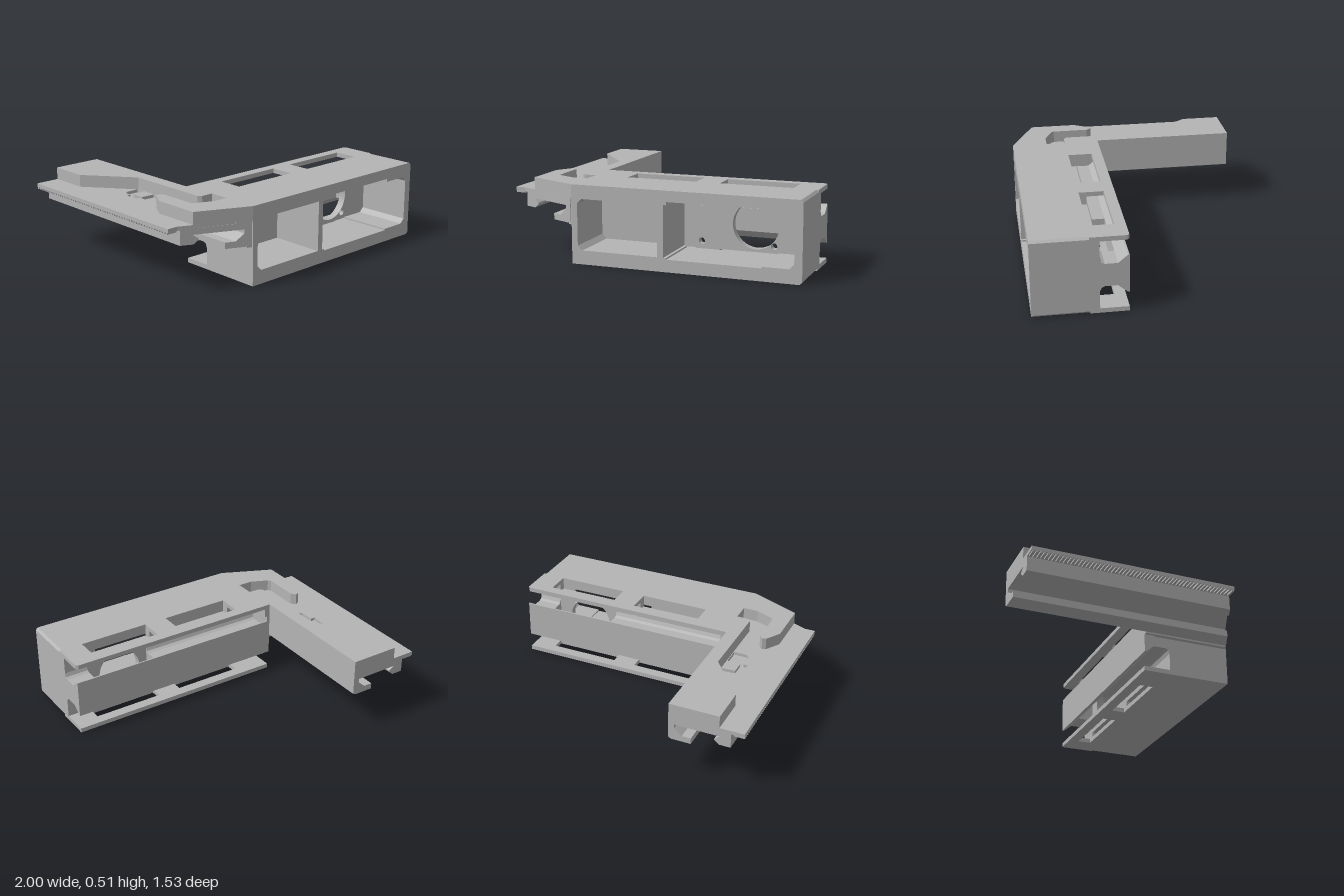
import * as THREE from 'three';

const gray = new THREE.MeshStandardMaterial({ color: 0xb4b4b4 });
gray.name = 'lightGray';

const outline = (pts, T = THREE.Shape) => new T(pts.map(([a, b]) => new THREE.Vector2(a, b)));
const rect = (x0, x1, y0, y1) => [[x0, y0], [x1, y0], [x1, y1], [x0, y1]];
const circle = (x, y, r) => new THREE.Path().absarc(x, y, r, 0, Math.PI * 2, true);

function extrude(pts, depth, holes = []) {
  const shape = outline(pts);
  shape.holes = holes.map((h) => (Array.isArray(h) ? outline(h, THREE.Path) : h));
  return new THREE.ExtrudeGeometry(shape, { depth, bevelEnabled: false, curveSegments: 24 });
}
// outline in x,z extruded between two heights
const plan = (pts, y0, y1, holes) => extrude(pts, y1 - y0, holes).rotateX(Math.PI / 2).translate(0, y1, 0);
// outline in x,y extruded between two z positions
const front = (pts, z0, z1, holes) => extrude(pts, z1 - z0, holes).translate(0, 0, z0);
// outline in z,y extruded between two x positions
const side = (pts, x0, x1) =>
  extrude(pts.map(([z, y]) => [-z, y]), x1 - x0).rotateY(Math.PI / 2).translate(x0, 0, 0);

export function createModel() {
  const group = new THREE.Group();
  const add = (name, geometry) => {
    const mesh = new THREE.Mesh(geometry, gray);
    mesh.name = name;
    group.add(mesh);
    return mesh;
  };
  const windows = [[-0.27, 0.2], [0.36, 0.84]];

  // Front housing with two deep pockets either side of a divider
  const frameOutline = [[-0.5, 0], [0.985, 0], [1, 0.015], [1, 0.495], [0.985, 0.51], [-0.5, 0.51]];
  const leftPocket = [[-0.46, 0.12], [-0.43, 0.09], [0.08, 0.09], [0.08, 0.42], [-0.43, 0.42], [-0.46, 0.39]];
  const rightPocket = [
    [0.12, 0.09], [0.14, 0.09], [0.14, 0.08], [0.75, 0.08], [0.75, 0.09], [0.92, 0.09], [0.95, 0.12],
    [0.95, 0.39], [0.92, 0.42], [0.75, 0.42], [0.75, 0.44], [0.14, 0.44], [0.14, 0.42], [0.12, 0.42],
  ];
  add('frontHousing', front(frameOutline, 0.4, 0.765, [leftPocket, rightPocket]));

  // Pocket back plate, notched at the windows, with a round opening and screw holes
  const holes = [circle(0.6, 0.255, 0.152)];
  for (const x of [0.24, 0.72]) for (const y of [0.13, 0.38]) holes.push(circle(x, y, 0.021));
  const lower = [], upper = [];
  for (const [a, b] of windows) {
    lower.push([a, 0.02], [a, 0.085], [b, 0.085], [b, 0.02]);
    upper.unshift([b, 0.49], [b, 0.425], [a, 0.425], [a, 0.49]);
  }
  add('pocketBackPlate', front(
    [[-0.5, 0.02], ...lower, [1, 0.02], [1, 0.49], ...upper, [-0.5, 0.49]], 0.35, 0.4, holes));

  // Rear bar: flared rail, joined to the back plate by solid necks
  const bar = [[0.17, 0.13], [0.18, 0.13], [0.24, 0.18], [0.24, 0.33], [0.18, 0.38], [0.17, 0.38]];
  add('rearBar', side(bar, -0.51, 1));
  for (const [a, b] of [[-0.5, 0.39], [0.84, 1]]) {
    add('barNeck', side([
      [0.235, 0.18], [0.32, 0.18], [0.34, 0.17], [0.352, 0.14], [0.352, 0.37], [0.34, 0.34],
      [0.32, 0.33], [0.235, 0.33]], a, b));
  }

  // Raised contour of the arm and its hooked front wedge
  const leftContour = [
    [-0.5, 0.765], [-0.84, 0.61], [-0.84, 0.3], [-0.78, 0.2], [-0.755, 0.19], [-0.73, 0.22], [-0.73, 0.46],
    [-0.715, 0.48], [-0.6, 0.53], [-0.5, 0.53], [-0.5, 0.4], [-0.58, 0.4], [-0.6, 0.38], [-0.6, -0.2],
    [-0.84, -0.51], [-0.84, -0.77], [-0.51, -0.77],
  ];
  add('raisedArm', plan([...leftContour, [-0.51, 0.17], [-0.47, 0.17], [-0.47, 0.765]], 0.42, 0.485));

  // Thin top and bottom plates with paired windows
  const topWindows = windows.map(([a, b]) => rect(a, b, 0.24, 0.4));
  add('topPlate', plan(
    [...leftContour, [-0.51, 0.17], [0.985, 0.17], [1, 0.185], [1, 0.41], [-0.48, 0.41], [-0.48, 0.765]],
    0.48, 0.51, topWindows));
  add('bottomPlate', plan(rect(-0.5, 1, 0.17, 0.41), 0, 0.03, windows.map(([a, b]) => rect(a, b, 0.24, 0.33))));

  // Flange deck with the clip recess around a small tab
  const clip = [
    [-0.605, -0.205], [-0.69, -0.205], [-0.715, -0.18], [-0.715, -0.14], [-0.745, -0.14], [-0.745, -0.04],
    [-0.715, -0.04], [-0.715, 0.06], [-0.69, 0.08], [-0.605, 0.08], [-0.605, -0.04], [-0.69, -0.045],
    [-0.69, -0.135], [-0.605, -0.14],
  ];
  add('flangeDeck', plan([[-1, -0.77], [-0.51, -0.77], [-0.51, 0.17], [-0.49, 0.17], [-0.49, 0.765],
    [-0.93, 0.57], [-1, 0.57]], 0.405, 0.43, [clip]));
  add('clipTab', new THREE.BoxGeometry(0.09, 0.03, 0.09).translate(-0.65, 0.415, -0.09));

  // Underside rail channel; its front end follows the slanted corner
  const channel = front([
    [-0.915, 0.41], [-0.915, 0.31], [-0.84, 0.31], [-0.81, 0.335], [-0.81, 0.345], [-0.845, 0.37],
    [-0.55, 0.37], [-0.55, 0.345], [-0.6, 0.3], [-0.66, 0.3], [-0.66, 0.26], [-0.53, 0.26],
    [-0.51, 0.27], [-0.51, 0.43], [-0.6, 0.43], [-0.6, 0.41]], -0.77, 0.57);
  const p = channel.attributes.position;
  for (let i = 0; i < p.count; i++) {
    if (p.getZ(i) > 0) p.setZ(i, 0.57 + (p.getX(i) + 0.93) * 0.453);
  }
  channel.computeVertexNormals();
  add('railChannel', channel);
  add('hookFillet', plan([[-0.53, 0.17], [-0.49, 0.17], [-0.49, 0.76], [-0.53, 0.745]], 0.25, 0.43));

  // Fine serration under the flange edge
  const toothCount = 56, pitch = 1.34 / toothCount;
  const tooth = new THREE.BoxGeometry(0.07, 0.012, pitch * 0.5);
  for (let i = 0; i < toothCount; i++) {
    add('flangeTooth', tooth).position.set(-0.965, 0.4, -0.77 + (i + 0.5) * pitch);
  }
  return group;
}
